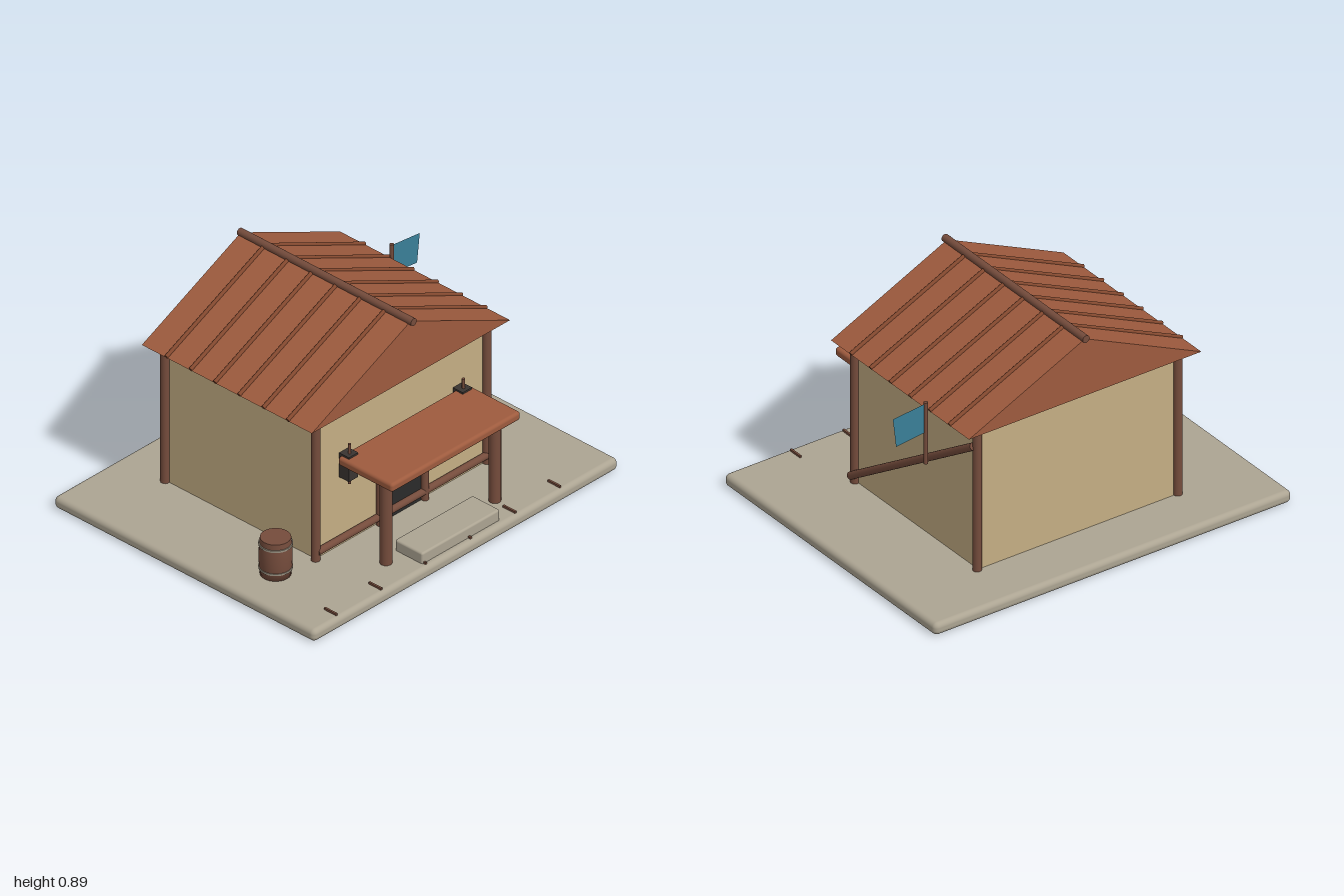
import * as THREE from 'three';
import { RoundedBoxGeometry } from 'three/addons/geometries/RoundedBoxGeometry.js';

const mat = (name, color, extra = {}) => {
  const m = new THREE.MeshStandardMaterial({ color, ...extra });
  m.name = name;
  return m;
};

export function createModel() {
  const stone = mat('stone', 0xaca492);
  const plaster = mat('plaster', 0xc4ae84);
  const tile = mat('roof tile', 0x9e5b3e);
  const rib = mat('dark roof tile', 0x84492f);
  const wood = mat('wood', 0x754c3c);
  const dark = mat('dark opening', 0x2a2a2a);
  const lanternDark = mat('lantern dark', 0x3a3431);
  const metal = mat('barrel band', 0x9a9080);
  const cloth = mat('blue cloth', 0x3a7f98, { side: THREE.DoubleSide });

  const root = new THREE.Group();
  root.name = 'house';
  const g = new THREE.Group(); // the whole plot stands turned by an eighth
  g.name = 'plot';
  g.rotation.y = Math.PI / 4;
  root.add(g);

  const add = (name, geo, m, x = 0, y = 0, z = 0) => {
    const mesh = new THREE.Mesh(geo, m);
    mesh.name = name;
    mesh.position.set(x, y, z);
    g.add(mesh);
    return mesh;
  };
  // Box given by its limits, rounded when r > 0
  const box = (name, m, x0, x1, y0, y1, z0, z1, r = 0) => {
    const s = [x1 - x0, y1 - y0, z1 - z0];
    const geo = r ? new RoundedBoxGeometry(...s, 4, r) : new THREE.BoxGeometry(...s);
    return add(name, geo, m, (x0 + x1) / 2, (y0 + y1) / 2, (z0 + z1) / 2);
  };
  // Round pole between two points
  const pole = (name, m, a, b, r, sides = 16) => {
    const p = new THREE.Vector3(...a), q = new THREE.Vector3(...b);
    const d = q.clone().sub(p);
    const mesh = add(name, new THREE.CylinderGeometry(r, r, d.length(), sides), m);
    mesh.position.copy(p).add(q).multiplyScalar(0.5);
    mesh.quaternion.setFromUnitVectors(new THREE.Vector3(0, 1, 0), d.normalize());
    return mesh;
  };

  // Ground slab with joint marks along the front edge
  box('groundSlab', stone, -0.784, 0.784, 0, 0.05, -0.641, 0.641, 0.02);
  for (let i = 0; i < 6; i++) {
    const x = -0.65 + i * 0.23;
    box('jointMark', wood, x - 0.004, x + 0.004, 0.045, 0.058, 0.565, 0.625);
  }

  // Walls, corner posts and front sill
  box('walls', plaster, -0.435, 0.435, 0.04, 0.627, -0.42, 0.315);
  for (const x of [-0.44, 0.44])
    for (const z of [-0.42, 0.32]) pole('cornerPost', wood, [x, 0.045, z], [x, 0.645, z], 0.017);
  pole('frontSill', wood, [-0.44, 0.085, 0.327], [0.44, 0.085, 0.327], 0.014);

  // Solid gabled roof
  const eave = 0.64, ridge = 0.877, half = 0.51, zBack = -0.467, zFront = 0.368;
  const gable = new THREE.Shape();
  gable.moveTo(-half, eave);
  gable.lineTo(half, eave);
  gable.lineTo(0, ridge);
  gable.closePath();
  add('roof', new THREE.ExtrudeGeometry(gable, { depth: zFront - zBack, bevelEnabled: false }), tile, 0, 0, zBack);
  for (const s of [-1, 1])
    for (let i = 1; i < 7; i++) {
      const z = zBack + (i * (zFront - zBack)) / 7;
      pole('roofRib', rib, [0, ridge, z], [s * half, eave + 0.002, z], 0.008, 8);
    }
  pole('ridgePole', wood, [0, 0.878, zBack - 0.006], [0, 0.878, 0.382], 0.015);

  // Porch roof and its posts
  box('porchRoof', tile, -0.332, 0.332, 0.402, 0.438, 0.325, 0.592, 0.012);
  for (const s of [-1, 1]) pole('porchPost', wood, [s * 0.28, 0.045, 0.513], [s * 0.28, 0.41, 0.513], 0.023);
  box('step', stone, -0.2, 0.2, 0.045, 0.095, 0.48, 0.615, 0.008);

  // Doorway
  box('door', dark, -0.11, 0.11, 0.05, 0.33, 0.315, 0.322);
  for (const s of [-1, 1]) pole('doorPost', wood, [s * 0.115, 0.045, 0.327], [s * 0.115, 0.34, 0.327], 0.015);
  pole('doorLintel', wood, [-0.14, 0.338, 0.327], [0.14, 0.338, 0.327], 0.017);

  // Lanterns beside the porch roof, each on a thin rod
  for (const s of [-1, 1]) {
    const x = s * 0.293;
    box('lantern', lanternDark, x - 0.024, x + 0.024, 0.342, 0.445, 0.318, 0.366);
    pole('lanternRod', wood, [x, 0.317, 0.346], [x, 0.485, 0.346], 0.006, 8);
  }

  // Diagonal brace on the left wall
  pole('wallBrace', wood, [0.452, 0.075, 0.33], [0.452, 0.565, -0.415], 0.015);

  // Flag on its pole
  pole('flagPole', wood, [0.528, 0.43, -0.23], [0.528, 0.685, -0.23], 0.008, 10);
  const flag = new THREE.Shape();
  flag.moveTo(0.53, 0.56);
  flag.lineTo(0.658, 0.545);
  flag.lineTo(0.672, 0.664);
  flag.lineTo(0.53, 0.68);
  flag.closePath();
  add('flag', new THREE.ShapeGeometry(flag), cloth, 0, 0, -0.23);

  // Barrel with two bands
  const [bx, bz] = [-0.6, 0.276];
  const lathe = (pts) => new THREE.LatheGeometry(pts.map((p) => new THREE.Vector2(...p)), 28);
  add('barrel', lathe([[0, 0.045], [0.056, 0.045], [0.06, 0.09], [0.061, 0.125], [0.06, 0.16], [0.056, 0.204]]), wood, bx, 0, bz);
  add('barrelLid', new THREE.CylinderGeometry(0.056, 0.056, 0.008, 28), wood, bx, 0.2, bz);
  for (const y of [0.08, 0.178])
    add('barrelBand', new THREE.CylinderGeometry(0.062, 0.062, 0.008, 28), metal, bx, y, bz);

  return root;
}
